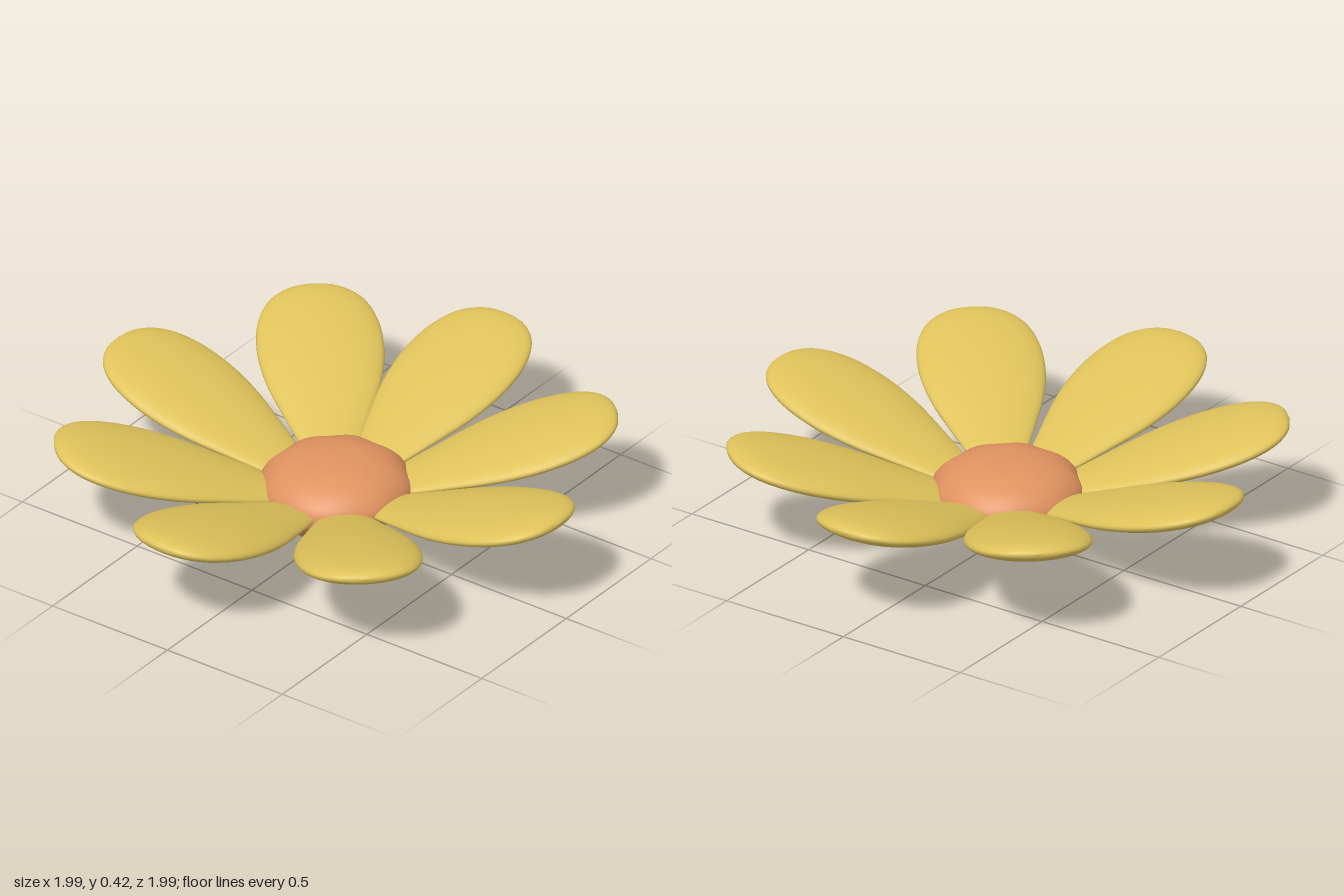
import * as THREE from 'three';

const gold = new THREE.MeshStandardMaterial({ name: 'petalGold', color: 0xdec25a });
const orange = new THREE.MeshStandardMaterial({ name: 'centreOrange', color: 0xe09260 });

const smooth = (pts, n) => {
  const out = new THREE.SplineCurve(pts.map(([x, y]) => new THREE.Vector2(x, y))).getPoints(n);
  out.forEach((p) => { p.x = Math.max(0, p.x); });
  return out;
};

// Flattened teardrop: half width against distance from the flower's axis
function petalGeometry(tilt) {
  const profile = smooth([
    [0, 0.16], [0.05, 0.175], [0.08, 0.21], [0.107, 0.27], [0.155, 0.4], [0.19, 0.5], [0.214, 0.6],
    [0.224, 0.7], [0.217, 0.8], [0.19, 0.885], [0.145, 0.945], [0.08, 0.983], [0, 0.995],
  ], 48);
  profile.forEach((p) => { p.y /= Math.cos(tilt); });
  const geo = new THREE.LatheGeometry(profile, 40);
  geo.scale(1, 1, 0.225);
  geo.rotateX(Math.PI / 2 - tilt);
  return geo;
}

// Domed bowl with a flat underside and a softly eight-sided outline
function centreGeometry() {
  const profile = smooth([
    [0, 0], [0.07, 0], [0.125, 0.006], [0.165, 0.04], [0.215, 0.095], [0.25, 0.14], [0.264, 0.18],
    [0.25, 0.222], [0.2, 0.265], [0.11, 0.297], [0, 0.305],
  ], 40);
  const geo = new THREE.LatheGeometry(profile, 64);
  const pos = geo.attributes.position;
  for (let i = 0; i < pos.count; i++) {
    const x = pos.getX(i), z = pos.getZ(i);
    const k = 1 - 0.027 * Math.cos(8 * Math.atan2(x, z));
    pos.setX(i, x * k);
    pos.setZ(i, z * k);
    pos.setY(i, Math.max(0, pos.getY(i)));
  }
  return geo;
}

export function createModel() {
  const flower = new THREE.Group();
  flower.name = 'flower';

  const centre = new THREE.Mesh(centreGeometry(), orange);
  centre.name = 'flowerCentre';
  centre.position.set(0.006, 0, -0.006);
  centre.rotation.y = -0.035;
  flower.add(centre);

  // Eight petals, each turned a few degrees off the even spacing
  const geo = petalGeometry(THREE.MathUtils.degToRad(16));
  [1.5, 2.5, 3, 3.7, 3.4, 4, 0.3, 0.5].forEach((turn, i) => {
    const petal = new THREE.Mesh(geo, gold);
    petal.name = `petal${i + 1}`;
    petal.position.y = 0.118;
    petal.rotation.y = -THREE.MathUtils.degToRad(i * 45 + turn);
    flower.add(petal);
  });
  return flower;
}
